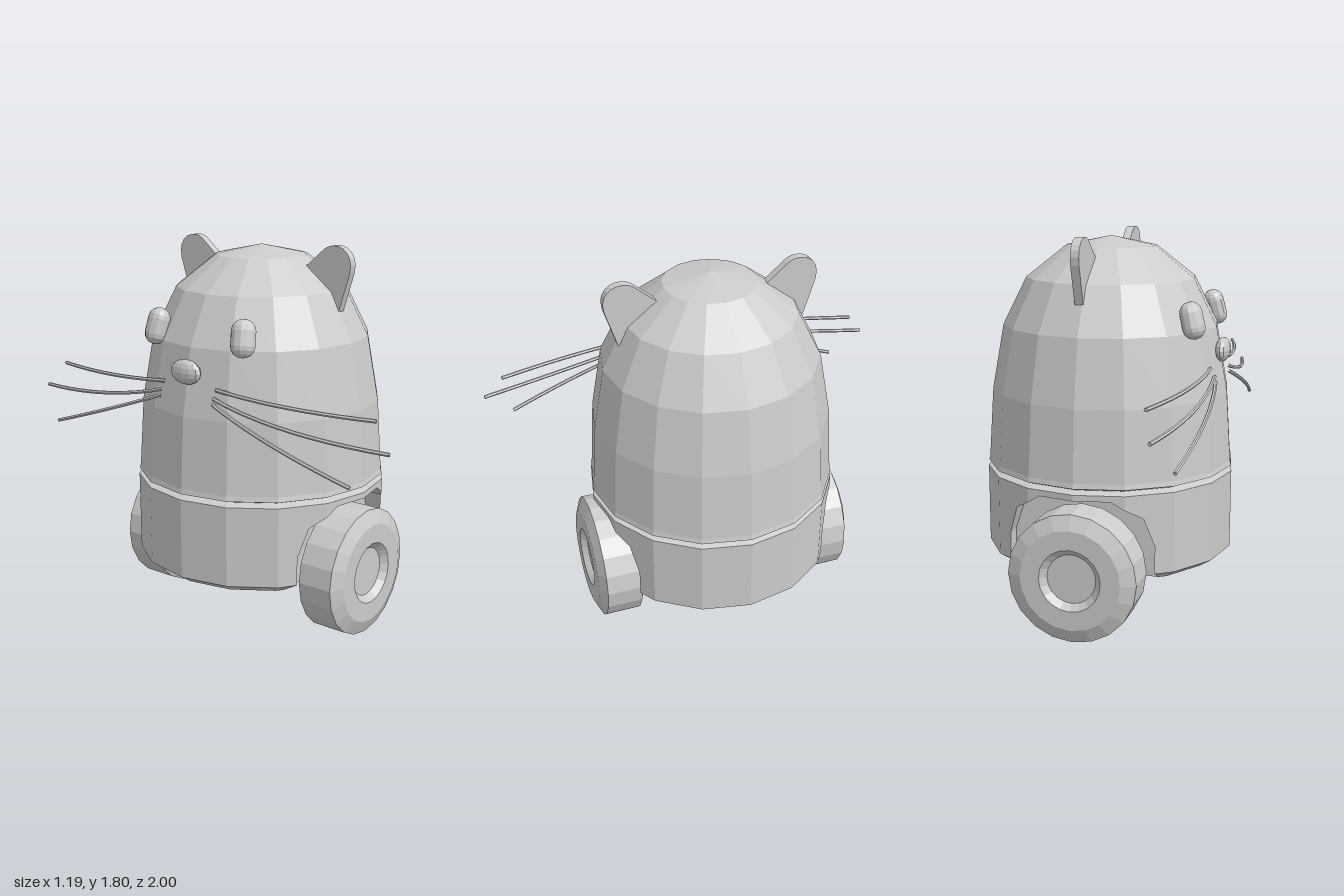
import * as THREE from 'three';

const V = (x, y) => new THREE.Vector2(x, y);
const flat = () => new THREE.MeshStandardMaterial({ color: 0xcccccc, flatShading: true });

function add(parent, name, geometry, material = flat()) {
  const mesh = new THREE.Mesh(geometry, material);
  mesh.name = name;
  parent.add(mesh);
  return mesh;
}

// Lower body: a 16-sided drum with a wheel bay cut into the front and back
const SIDES = 16, R = 0.595, R_FLOOR = 0.535;
const FLOOR = 0.27, CHAMFER = 0.31, TOP = 0.685;
const BAY_X = 0.345, BAY_Z = 0.4;
const ARCH = [[0, 0.657], [0.165, 0.657], [0.3, 0.575], [BAY_X, 0.44]];

const corner = (i, r) => [r * Math.sin(i * 2 * Math.PI / SIDES), r * Math.cos(i * 2 * Math.PI / SIDES)];

// Depth of the drum wall at a given x
function wallZ(x, r) {
  x = Math.abs(x);
  const i = x < corner(1, r)[0] ? 0 : 1;
  const [x0, z0] = corner(i, r), [x1, z1] = corner(i + 1, r);
  return z0 + (z1 - z0) * (x - x0) / (x1 - x0);
}

// Height of the bay arch at a given x
function archY(x) {
  x = Math.abs(x);
  let i = 0;
  while (i < ARCH.length - 2 && x > ARCH[i + 1][0]) i++;
  const [x0, y0] = ARCH[i], [x1, y1] = ARCH[i + 1];
  return y0 + (y1 - y0) * (x - x0) / (x1 - x0);
}

// Wall outline on the +x side, from the front bay to the back bay
function sideRing(r) {
  const z = wallZ(BAY_X, r);
  return [[BAY_X, z], ...[2, 3, 4, 5, 6].map(i => corner(i, r)), [BAY_X, -z]];
}

// One side wall and one bay; turned half round it gives the other half
function halfDrum() {
  const pos = [];
  const quad = (a, b, c, d) => pos.push(...a, ...b, ...c, ...a, ...c, ...d);

  const rows = [[R_FLOOR, FLOOR], [R, CHAMFER], [R, TOP]]
    .map(([r, y]) => sideRing(r).map(([x, z]) => [x, y, z]));
  for (let j = 0; j < 2; j++)
    for (let i = 0; i < rows[j].length - 1; i++)
      quad(rows[j][i], rows[j][i + 1], rows[j + 1][i + 1], rows[j + 1][i]);

  // Lintel, ceiling and rear wall of the bay
  const half = [0.165, corner(1, R)[0], 0.3, BAY_X];
  const xs = [...half.map(x => -x).reverse(), 0, ...half];
  for (let i = 0; i < xs.length - 1; i++) {
    const a = xs[i], b = xs[i + 1];
    const ya = archY(a), yb = archY(b), za = wallZ(a, R), zb = wallZ(b, R);
    quad([a, ya, za], [b, yb, zb], [b, TOP, zb], [a, TOP, za]);
    quad([a, ya, BAY_Z], [b, yb, BAY_Z], [b, yb, zb], [a, ya, za]);
    quad([a, FLOOR, BAY_Z], [b, FLOOR, BAY_Z], [b, yb, BAY_Z], [a, ya, BAY_Z]);
  }

  // Jambs of the bay
  const zo = wallZ(BAY_X, R), zf = wallZ(BAY_X, R_FLOOR), yTop = archY(BAY_X);
  for (const x of [-BAY_X, BAY_X])
    for (const [y0, z0, y1] of [[FLOOR, zf, CHAMFER], [CHAMFER, zo, yTop]]) {
      const q = [[x, y0, BAY_Z], [x, y1, BAY_Z], [x, y1, zo], [x, y0, z0]];
      quad(...(x > 0 ? q.reverse() : q));
    }

  const g = new THREE.BufferGeometry();
  g.setAttribute('position', new THREE.Float32BufferAttribute(pos, 3));
  g.computeVertexNormals();
  return g;
}

function makeBase() {
  const base = new THREE.Group();
  base.name = 'base';
  const half = halfDrum();
  for (const turn of [0, Math.PI]) add(base, 'baseHalf', half).rotation.y = turn;

  const side = [[BAY_X, BAY_Z], ...sideRing(R_FLOOR), [BAY_X, -BAY_Z]];
  const outline = [...side, ...side.map(([x, z]) => [-x, -z])].map(p => V(...p));
  const floor = new THREE.ShapeGeometry(new THREE.Shape(outline));
  add(base, 'baseFloor', floor.rotateX(Math.PI / 2)).position.y = FLOOR;
  return base;
}

// Chamfered wheel with a sunken hub, axis along z
function makeWheel() {
  const profile = [
    [0, 0.42], [0.235, 0.42], [0.302, 0.45], [0.302, 0.62], [0.235, 0.65],
    [0.145, 0.65], [0.115, 0.62], [0, 0.62],
  ].map(p => V(...p));
  return new THREE.LatheGeometry(profile, 20).rotateX(Math.PI / 2);
}

// Thin rounded tab lying in the z-y plane
function makeEar() {
  const s = new THREE.Shape();
  s.moveTo(0.3, 1.5);
  s.lineTo(0.44, 1.505);
  s.lineTo(0.495, 1.68);
  s.bezierCurveTo(0.515, 1.76, 0.46, 1.8, 0.41, 1.798);
  s.quadraticCurveTo(0.375, 1.798, 0.345, 1.77);
  s.lineTo(0.25, 1.69);
  const g = new THREE.ExtrudeGeometry(s, { depth: 0.04, bevelEnabled: false, curveSegments: 6 });
  return g.rotateY(-Math.PI / 2).translate(0.035, 0, 0);
}

// Whisker root, bend and tip
const WHISKERS = [
  [[-0.515, 1.2, 0.15], [-0.53, 1.17, 0.5], [-0.415, 1.165, 0.91]],
  [[-0.535, 1.165, 0.15], [-0.56, 1.07, 0.5], [-0.455, 1.05, 1]],
  [[-0.54, 1.14, 0.15], [-0.59, 1.03, 0.45], [-0.525, 0.9, 0.86]],
];

export function createModel() {
  const model = new THREE.Group();
  model.name = 'roundAnimalRobot';

  model.add(makeBase());

  // Groove and dome
  const groove = [[R, TOP], [0.555, 0.698], [0.592, 0.712]].map(p => V(...p));
  add(model, 'groove', new THREE.LatheGeometry(groove, SIDES));
  const dome = [[0.592, 0.712], [0.587, 0.735], [0.565, 1.065], [0.51, 1.37],
    [0.4, 1.59], [0.215, 1.735], [0, 1.78]].map(p => V(...p));
  add(model, 'dome', new THREE.LatheGeometry(dome, SIDES));

  // Wheels front and back
  const wheel = makeWheel();
  for (const turn of [0, Math.PI]) {
    const w = add(model, turn ? 'backWheel' : 'frontWheel', wheel);
    w.position.y = 0.302;
    w.rotation.y = turn;
  }

  // Nose on the -x face
  const nose = add(model, 'nose', new THREE.SphereGeometry(1, 12, 8));
  nose.scale.set(0.034, 0.056, 0.086);
  nose.position.set(-0.542, 1.266, 0);

  // Ears, eyes and whiskers, mirrored across z
  const ear = makeEar();
  const eye = new THREE.CapsuleGeometry(0.05, 0.07, 4, 12);
  for (const s of [1, -1]) {
    const label = s > 0 ? 'front' : 'back';
    add(model, label + 'Ear', ear).scale.z = s;

    const e = add(model, label + 'Eye', eye);
    e.position.set(-0.45, 1.43, 0.25 * s);
    e.rotation.set(0, 0.45 * s, -0.28, 'YXZ');
    e.scale.z = 1.12;

    for (const points of WHISKERS) {
      const [a, b, c] = points.map(([x, y, z]) => new THREE.Vector3(x, y, z * s));
      const path = new THREE.QuadraticBezierCurve3(a, b, c);
      const whisker = add(model, label + 'Whisker', new THREE.TubeGeometry(path, 10, 0.009, 6));
      // Close the tip
      const tip = add(model, label + 'WhiskerTip', new THREE.CircleGeometry(0.009, 6));
      tip.position.copy(c);
      tip.lookAt(c.clone().add(path.getTangent(1)));
    }
  }
  return model;
}
